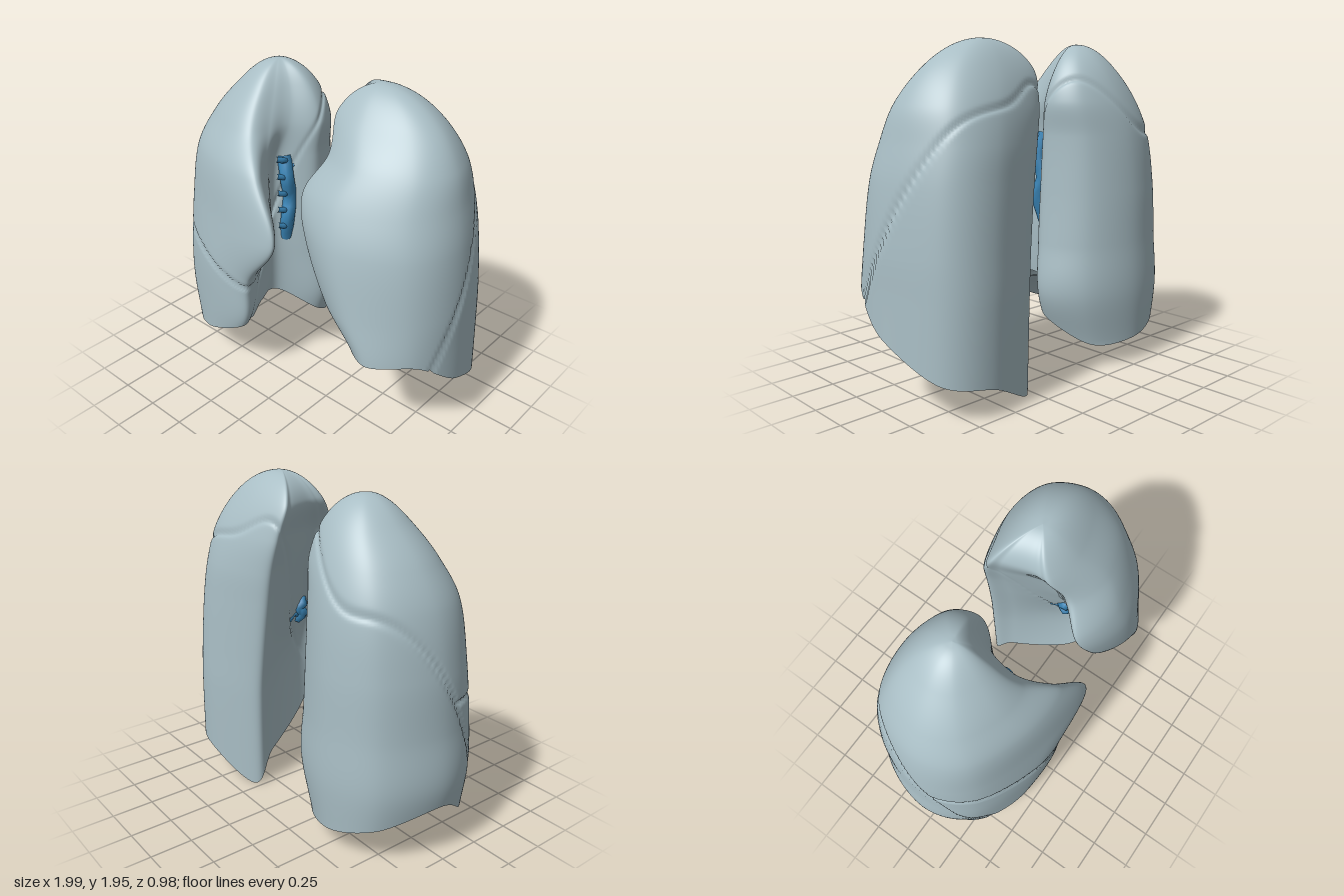
import * as THREE from 'three';

const tissue = new THREE.MeshStandardMaterial({ color: 0xa9bec5 });
tissue.name = 'paleBlueGrey';
const vessel = new THREE.MeshStandardMaterial({ color: 0x3a86b8 });
vessel.name = 'vesselBlue';

const { lerp, smoothstep } = THREE.MathUtils;
const COLS = 172, ROWS = 130, CAP = 28;
const bump = (m, at, width) => Math.exp(-(((m - at) / width) ** 2));

// m is the distance from the midline towards the outside of the body.
// level rows: y, m of front edge, outer side, inner back, hilum hollow, then z front, z back
// corner, inner, innerFront: blend across and depth of the inner outline points
const rightLung = {
  side: -1, top: 1.93, tipDepth: 1, centre: [0.58, 0.45, 0.02],
  corner: [0.13, 0.12], inner: [0, 0.4], hilumDepth: 0.62, innerFront: [0.45, 0.8],
  levels: [
    [1.93, 0.40, 0.40, 0.40, 0.40, -0.08, -0.08],
    [1.80, 0.37, 0.63, 0.20, 0.28, 0.12, -0.28],
    [1.60, 0.31, 0.80, 0.12, 0.24, 0.27, -0.38],
    [1.40, 0.14, 0.90, 0.13, 0.28, 0.40, -0.43],
    [1.07, -0.04, 0.96, 0.12, 0.29, 0.47, -0.46],
    [0.75, 0.18, 0.98, 0.10, 0.28, 0.47, -0.47],
    [0.45, 0.23, 1.00, 0.08, 0.30, 0.46, -0.48],
    [0.14, 0.44, 0.94, 0.18, 0.35, 0.42, -0.46],
  ],
  rim: [0.39, 0.23, 0.17, 0.33, 0.24, 0.16, 0.14, 0.30, 0.48, 0.50],
  lobes: ['rightUpperLobe', 'rightMiddleLobe', 'rightLowerLobe'],
  // signed distances to the oblique and horizontal fissures
  oblique: (m, y, z) => (y - (1.04 - 1.75 * z - 1.3 * z * z
    + 0.4 * bump(m, 0.1, 0.28) - 0.12 * bump(m, 0.65, 0.2))) / 2,
  horizontal: (m, y) => y - (0.66 + 0.25 * m),
};

const leftLung = {
  side: 1, top: 1.95, tipDepth: 0.9, centre: [0.64, 0.43, 0.05],
  corner: [0.02, 0.11], inner: [0.22, 0.27], hilumDepth: 0.6, innerFront: [0.3, 0.75],
  levels: [
    [1.95, 0.35, 0.35, 0.35, 0.35, -0.08, -0.08],
    [1.80, 0.19, 0.71, 0.12, 0.17, 0.13, -0.28],
    [1.60, 0.23, 0.855, 0.13, 0.24, 0.28, -0.38],
    [1.40, 0.14, 0.91, 0.17, 0.30, 0.40, -0.43],
    [1.20, 0.19, 0.95, 0.20, 0.37, 0.46, -0.45],
    [0.85, 0.35, 0.98, 0.24, 0.47, 0.48, -0.47],
    [0.60, 0.54, 0.985, 0.26, 0.46, 0.47, -0.48],
    [0.00, 0.66, 1.00, 0.28, 0.36, 0.44, -0.48],
  ],
  rim: [0.65, 0.61, 0.60, 0.39, 0.21, 0.16, 0.0, 0.20, 0.37, 0.56],
  lobes: ['leftUpperLobe', null, 'leftLowerLobe'],
  oblique: (m, y, z) => (y - (0.91 - 1.755 * z + 0.3 * bump(m, 0.15, 0.2))) / 2,
};

// Smooth interpolation of the level rows; the square root rounds off the apex
function levelAt(spec, y) {
  const q = (v) => Math.sqrt(Math.max(0, spec.top - v));
  const L = spec.levels, x = q(y), last = L.length - 1;
  let i = 0;
  while (i < last - 1 && x > q(L[i + 1][0])) i++;
  const x0 = q(L[i][0]), h = q(L[i + 1][0]) - x0;
  const t = THREE.MathUtils.clamp((x - x0) / h, 0, 1);
  const slope = (k, c) => {
    const a = Math.max(0, k - 1), b = Math.min(last, k + 1);
    return (L[b][c] - L[a][c]) / (q(L[b][0]) - q(L[a][0]));
  };
  return L[i].map((v, c) => {
    const w = L[i + 1][c], t2 = t * t, t3 = t2 * t;
    return v * (2 * t3 - 3 * t2 + 1) + slope(i, c) * h * (t3 - 2 * t2 + t)
      + w * (3 * t2 - 2 * t3) + slope(i + 1, c) * h * (t3 - t2);
  });
}

// One point of the horizontal outline: front edge, outside, back, then the hollow inner side
function outlineAt(spec, y, u) {
  const [, tip, out, med, hil, zf, zb] = levelAt(spec, y);
  const { corner, inner, innerFront } = spec;
  const pts = [
    [tip, spec.tipDepth], [lerp(tip, out, 0.38), 1], [lerp(tip, out, 0.84), 0.82],
    [out, 0.5], [lerp(med, out, 0.85), 0.12], [lerp(med, out, 0.5), 0],
    [lerp(med, out, corner[0]), corner[1]], [lerp(med, hil, inner[0]), inner[1]],
    [hil, spec.hilumDepth], [lerp(hil, tip, innerFront[0]), innerFront[1]],
  ].map(([m, w]) => new THREE.Vector3(m, 0, lerp(zb, zf, w)));
  if (y > spec.top - 1e-6) return pts[0];
  return new THREE.CatmullRomCurve3(pts, true, 'catmullrom', 0.5).getPoint(u);
}

// Builds a wrapped grid and shares it out between the lobes
function addGrid(spec, rows, pointAt, groups, suffix) {
  const pos = [], lobe = [], core = new THREE.Vector3(0.55, 0.95, 0);
  for (let i = 0; i <= rows; i++) {
    for (let j = 0; j < COLS; j++) {
      const p = pointAt(i / rows, j);
      const a = spec.oblique(p.x, p.y, p.z);
      const b = spec.horizontal && a > 0 ? spec.horizontal(p.x, p.y) : 1;
      lobe.push(a < 0 ? 2 : b < 0 ? 1 : 0);
      // groove along each fissure
      const d = Math.min(Math.abs(a), Math.abs(b));
      p.addScaledVector(core.clone().sub(p).normalize(), 0.015 * bump(d, 0, 0.013));
      pos.push(spec.side * p.x, p.y, p.z);
    }
  }
  const faces = [[], [], []], all = [];
  for (let i = 0; i < rows; i++) {
    for (let j = 0; j < COLS; j++) {
      const k = (j + 1) % COLS;
      const a = i * COLS + j, b = a + COLS, c = (i + 1) * COLS + k, d = i * COLS + k;
      const quad = spec.side > 0 ? [a, b, c, a, c, d] : [a, c, b, a, d, c];
      faces[lobe[a]].push(...quad);
      all.push(...quad);
    }
  }
  const whole = new THREE.BufferGeometry();
  whole.setAttribute('position', new THREE.Float32BufferAttribute(pos, 3));
  whole.setIndex(all);
  whole.computeVertexNormals();
  faces.forEach((index, n) => {
    if (!index.length) return;
    const g = new THREE.BufferGeometry();
    g.setAttribute('position', whole.getAttribute('position'));
    g.setAttribute('normal', whole.getAttribute('normal'));
    g.setIndex(index);
    const mesh = new THREE.Mesh(g, tissue);
    mesh.name = spec.lobes[n] + suffix;
    groups[n].add(mesh);
  });
}

function makeLung(spec, name) {
  const lung = new THREE.Group();
  lung.name = name;
  const groups = spec.lobes.map((n) => {
    if (!n) return null;
    const g = new THREE.Group();
    g.name = n;
    lung.add(g);
    return g;
  });
  const rimCurve = new THREE.CatmullRomCurve3(
    spec.rim.map((y) => new THREE.Vector3(0, y, 0)), true, 'catmullrom', 0.4);
  const rim = [];
  for (let j = 0; j < COLS; j++) {
    const y = Math.max(0, rimCurve.getPoint(j / COLS).y);
    rim.push(outlineAt(spec, y, j / COLS).setY(y));
  }
  // outer walls from apex to rim
  addGrid(spec, ROWS, (t, j) => {
    const y = lerp(spec.top, rim[j].y, t ** 1.3);
    return outlineAt(spec, y, j / COLS).setY(y);
  }, groups, 'Wall');
  // hollow base: domed behind, stepped up under the front lobe
  const [cm, cy, cz] = spec.centre;
  addGrid(spec, CAP, (t, j) => {
    const r = 1 - t, e = rim[j];
    const k = e.y < cy ? r ** 2.3 : smoothstep(r, 0.05, 0.5);
    return new THREE.Vector3(lerp(cm, e.x, r), lerp(cy, e.y, k), lerp(cz, e.z, r));
  }, groups, 'Base');
  return lung;
}

// Branching airway and vessel stubs in the hilum hollow
function makeHilum(side, m, z, y0, y1, radius, count, name) {
  const g = new THREE.Group();
  g.name = name;
  const tube = (pts, r, part) => {
    const curve = new THREE.CatmullRomCurve3(pts.map((p) => new THREE.Vector3(side * p[0], p[1], p[2])));
    const mesh = new THREE.Mesh(new THREE.TubeGeometry(curve, 10, r, 8), vessel);
    mesh.name = part;
    g.add(mesh);
  };
  tube([[m + 0.04, y0, z], [m, lerp(y0, y1, 0.3), z + 0.02], [m + 0.01, lerp(y0, y1, 0.5), z - 0.01],
    [m, lerp(y0, y1, 0.75), z + 0.02], [m + 0.04, y1, z]], radius, 'hilumTrunk');
  for (let i = 0; i < count; i++) {
    const y = lerp(y0, y1, (i + 0.5) / count), s = i % 2 ? 1 : -1;
    tube([[m + 0.02, y, z], [m, y + 0.02, z + s * 0.05], [m + 0.01, y + 0.04 * s, z + s * 0.1]],
      radius * 0.4, 'hilumBranch');
  }
  return g;
}

export function createModel() {
  const model = new THREE.Group();
  model.name = 'lungs';
  model.add(
    makeLung(rightLung, 'rightLung'),
    makeLung(leftLung, 'leftLung'),
    makeHilum(-1, 0.225, 0.04, 0.86, 1.4, 0.042, 10, 'rightHilum'),
    makeHilum(1, 0.4, 0.07, 0.98, 1.14, 0.035, 3, 'leftHilum'),
  );
  return model;
}
